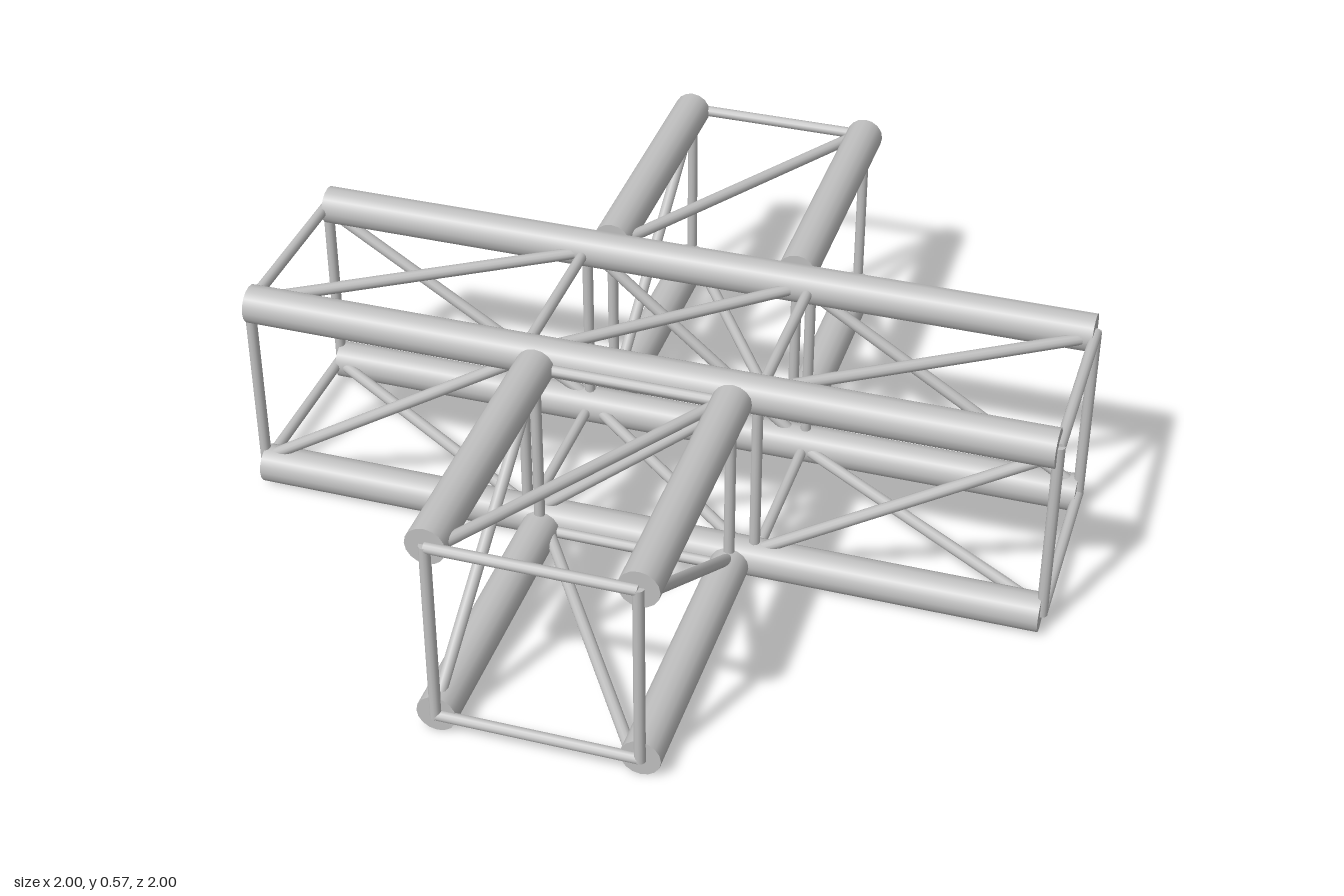
import * as THREE from 'three';

const LOW = 0.0475, HIGH = 0.5265, SIDE = 0.239;   // chord centre lines
const MID = (LOW + HIGH) / 2, HALF = (HIGH - LOW) / 2;
const CHORD_R = 0.0475, STRUT_R = 0.0135, BRACE_R = 0.0145;
const END = 0.984, INNER = 0.285;

export function createModel() {
  const model = new THREE.Group();
  model.name = 'crossTruss';
  const metal = new THREE.MeshStandardMaterial({ color: 0xc0c0c0 });
  metal.name = 'light grey metal';

  // Round bar between two points
  function bar(parent, name, a, b, radius, sides) {
    const from = new THREE.Vector3(...a), to = new THREE.Vector3(...b);
    const dir = to.clone().sub(from);
    const mesh = new THREE.Mesh(new THREE.CylinderGeometry(radius, radius, dir.length(), sides), metal);
    mesh.name = name;
    mesh.position.copy(from).add(to).multiplyScalar(0.5);
    mesh.quaternion.setFromUnitVectors(new THREE.Vector3(0, 1, 0), dir.normalize());
    parent.add(mesh);
  }

  // Points are given as (along, height, across) and mapped to the x or z axis
  const alongX = (u, y, v) => [u, y, v];
  const alongZ = (u, y, v) => [v, y, u];

  function chords(parent, map, u0, u1) {
    for (const y of [LOW, HIGH])
      for (const v of [-SIDE, SIDE]) bar(parent, 'chord', map(u0, y, v), map(u1, y, v), CHORD_R, 16);
  }

  // Square frame of four struts across the truss
  function frame(parent, map, u) {
    for (const v of [-SIDE, SIDE])
      bar(parent, 'uprightStrut', map(u, LOW - 0.005, v), map(u, HIGH + 0.005, v), STRUT_R, 12);
    for (const y of [LOW, HIGH])
      bar(parent, 'crossStrut', map(u, y, -SIDE), map(u, y, SIDE), STRUT_R, 12);
  }

  // One diagonal on each of the four faces, opposite faces leaning opposite ways
  function braces(parent, map, u, du, rise) {
    for (const s of [-1, 1]) {
      bar(parent, 'sideBrace', map(u - du, MID - s * rise, s * SIDE),
        map(u + du, MID + s * rise, s * SIDE), BRACE_R, 12);
      bar(parent, s > 0 ? 'topBrace' : 'bottomBrace', map(u - du, MID + s * HALF, s * rise),
        map(u + du, MID + s * HALF, -s * rise), BRACE_R, 12);
    }
  }

  // Main truss running left to right
  const main = new THREE.Group();
  main.name = 'mainTruss';
  model.add(main);
  chords(main, alongX, -END, END);
  for (const u of [-0.9865, -0.288, 0.288, 0.9865]) frame(main, alongX, u);
  for (const u of [-0.634, 0.634]) braces(main, alongX, u, 0.345, 0.219);
  braces(main, alongX, 0, 0.27, 0.228);

  // Front and back arms
  for (const s of [1, -1]) {
    const arm = new THREE.Group();
    arm.name = s > 0 ? 'frontArm' : 'backArm';
    model.add(arm);
    chords(arm, alongZ, s * INNER, s * END);
    frame(arm, alongZ, s * 0.29);
    frame(arm, alongZ, s * 0.9865);
    braces(arm, alongZ, s * 0.634, 0.345, 0.219);
  }
  return model;
}
